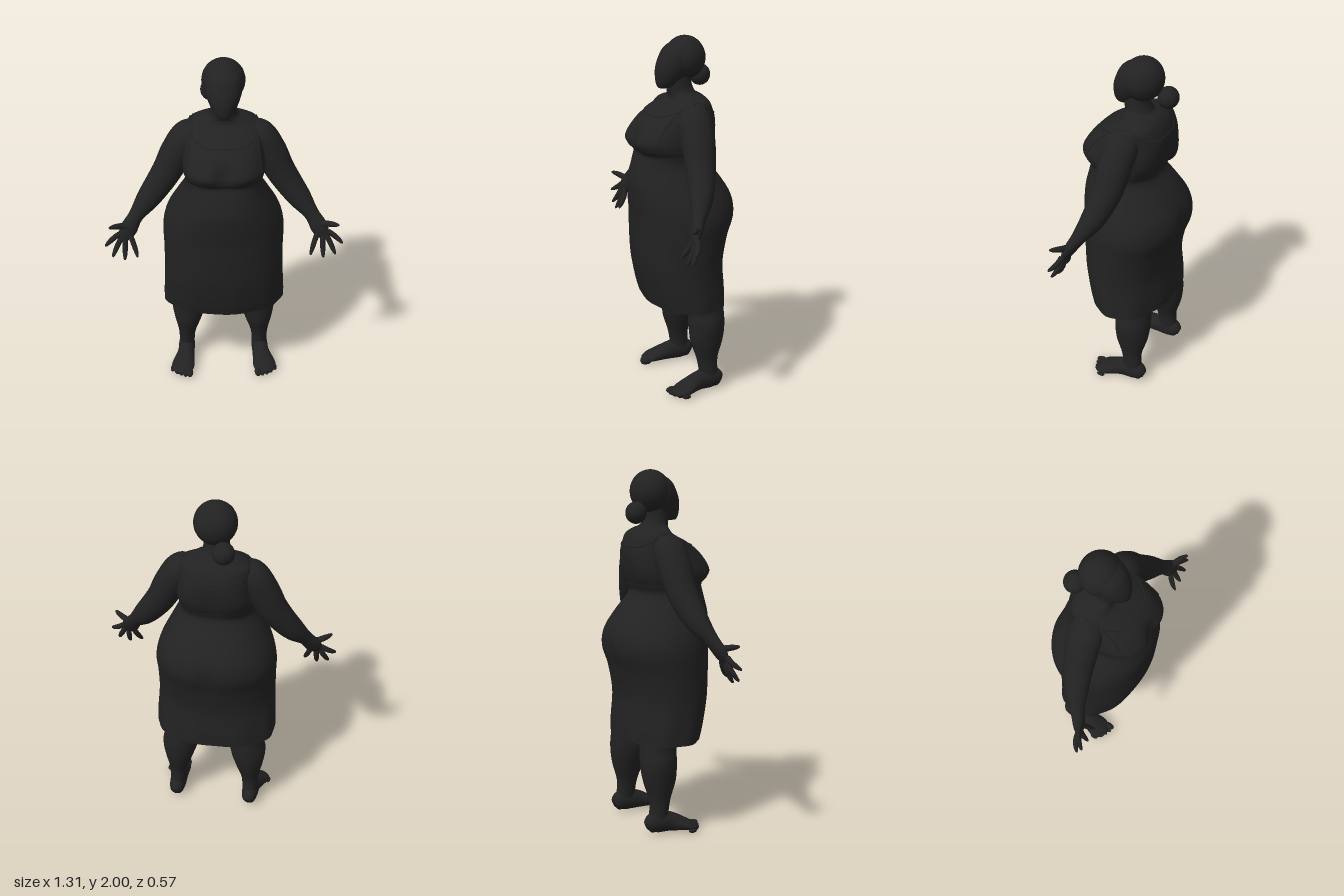
import * as THREE from 'three';

const dark = new THREE.MeshStandardMaterial({ color: 0x222222, side: THREE.DoubleSide });
dark.name = 'charcoal';

// Smooth interpolation of every column of a table, t from 0 to 1
function sample(rows, t) {
  const f = t * (rows.length - 1);
  const i = Math.min(Math.floor(f), rows.length - 2);
  const u = f - i;
  const at = k => rows[Math.max(0, Math.min(rows.length - 1, k))];
  return rows[i].map((b, c) => {
    const a = at(i - 1)[c], d = at(i + 1)[c], e = at(i + 2)[c];
    return b + 0.5 * u * (d - a + u * (2 * a - 5 * b + 4 * d - e + u * (3 * (b - d) + e - a)));
  });
}

// Closed rings joined into one smooth skin; point(angle, t) gives the surface
function skin(point, segs, rings, capStart) {
  const pos = [], index = [];
  for (let i = 0; i <= rings; i++)
    for (let j = 0; j < segs; j++) pos.push(...point(j / segs * Math.PI * 2, i / rings));
  for (let i = 0; i < rings; i++)
    for (let j = 0; j < segs; j++) {
      const a = i * segs + j, b = i * segs + (j + 1) % segs;
      index.push(a, a + segs, b, b, a + segs, b + segs);
    }
  const cap = (first, flip) => {
    const centre = [0, 0, 0];
    for (let j = 0; j < segs; j++) for (let k = 0; k < 3; k++) centre[k] += pos[(first + j) * 3 + k] / segs;
    const c = pos.length / 3;
    pos.push(...centre);
    for (let j = 0; j < segs; j++) {
      const a = first + j, b = first + (j + 1) % segs;
      index.push(...(flip ? [c, b, a] : [c, a, b]));
    }
  };
  if (capStart) cap(0, false);
  cap(rings * segs, true);
  const g = new THREE.BufferGeometry();
  g.setAttribute('position', new THREE.Float32BufferAttribute(pos, 3));
  g.setIndex(index);
  g.computeVertexNormals();
  return g;
}

// Limb along a path; rows are x, y, z, half width, half depth
function limb(rows, side, ref, segs = 28, rings = 48) {
  const r = rows.map(([x, ...rest]) => [x * side, ...rest]);
  const vec = t => new THREE.Vector3(...sample(r, t).slice(0, 3));
  return skin((angle, t) => {
    const s = sample(r, t);
    const T = vec(Math.min(1, t + 0.01)).sub(vec(Math.max(0, t - 0.01))).normalize();
    const B = ref.clone().addScaledVector(T, -ref.dot(T)).normalize();
    const N = T.clone().cross(B);
    return vec(t).addScaledVector(N, Math.cos(angle) * s[3]).addScaledVector(B, Math.sin(angle) * s[4]).toArray();
  }, segs, rings, true);
}

// Upright section from rows of y, half width, front z, back z
const spow = (v, p) => Math.sign(v) * Math.abs(v) ** p;
const bell = (v, centre, width) => Math.exp(-(((v - centre) / width) ** 2));
function section(rows, angle, t, squareness = 2) {
  const [y, w, zf, zb] = sample(rows, t);
  const c = spow(Math.cos(angle), 2 / squareness), s = spow(Math.sin(angle), 2 / squareness);
  return [w * c, y, (zf + zb) / 2 + (zf - zb) / 2 * s];
}

const TORSO = [
  [0.515, 0.346, 0.205, -0.23], [0.6, 0.344, 0.23, -0.23], [0.75, 0.336, 0.26, -0.222],
  [0.9, 0.336, 0.27, -0.248], [1.02, 0.338, 0.272, -0.287], [1.12, 0.314, 0.282, -0.277],
  [1.22, 0.264, 0.284, -0.218], [1.32, 0.214, 0.26, -0.139], [1.375, 0.212, 0.245, -0.148],
  [1.41, 0.22, 0.275, -0.163], [1.46, 0.222, 0.288, -0.177], [1.55, 0.21, 0.23, -0.184],
  [1.61, 0.203, 0.15, -0.17], [1.65, 0.185, 0.075, -0.15], [1.68, 0.125, 0.06, -0.12],
  [1.7, 0.08, 0.065, -0.085], [1.75, 0.068, 0.07, -0.065], [1.8, 0.066, 0.06, -0.065],
];
// Torso surface: squarer at the bust, soft clefts front and back, folds near the hem
function torso(angle, t) {
  const y = sample(TORSO, t)[0];
  const p = section(TORSO, angle, t, 2.15 + 0.6 * bell(y, 1.46, 0.12));
  const cleft = p[2] > 0 ? 0.12 * bell(y, 1.46, 0.06)
    : 0.05 * bell(y, 1.02, 0.12) + 0.04 * bell(y, 1.45, 0.12);
  const hem = Math.max(0, Math.min(1, (0.85 - y) / 0.3));
  const fold = 1 + 0.014 * hem * Math.sin(9 * angle + 1);
  return [p[0] * fold, y, p[2] * fold * (1 - cleft * bell(p[0], 0, 0.05))];
}

const HEAD = [
  [1.722, 0.018, 0.115, 0.07], [1.729, 0.038, 0.125, 0.03], [1.76, 0.062, 0.135, -0.01],
  [1.82, 0.09, 0.136, -0.075], [1.88, 0.1, 0.118, -0.1], [1.94, 0.086, 0.083, -0.1],
  [1.985, 0.02, 0.01, -0.04],
];
const ARM = [
  [0.11, 1.6, -0.01, 0.04, 0.06], [0.185, 1.572, -0.01, 0.085, 0.092],
  [0.25, 1.475, -0.005, 0.089, 0.092], [0.305, 1.365, 0.005, 0.082, 0.084],
  [0.36, 1.28, 0.022, 0.075, 0.074], [0.42, 1.2, 0.048, 0.064, 0.062],
  [0.485, 1.12, 0.09, 0.042, 0.038], [0.53, 1.05, 0.125, 0.048, 0.026],
  [0.56, 0.995, 0.147, 0.02, 0.008],
];
const LEG = [
  [0.222, 0.05, -0.095, 0.045, 0.055], [0.218, 0.18, -0.083, 0.05, 0.06],
  [0.211, 0.3, -0.08, 0.081, 0.094], [0.203, 0.4, -0.082, 0.102, 0.103],
  [0.19, 0.52, -0.076, 0.099, 0.106], [0.17, 0.9, -0.02, 0.125, 0.14],
];
const FOOT = [
  [0.222, 0.045, -0.166, 0.012, 0.02], [0.222, 0.052, -0.15, 0.036, 0.046],
  [0.222, 0.066, -0.1, 0.048, 0.062], [0.227, 0.058, -0.02, 0.05, 0.054],
  [0.248, 0.03, 0.085, 0.068, 0.027], [0.256, 0.018, 0.135, 0.03, 0.01],
];
// Finger base and tip; thumb first
const FINGERS = [
  [[0.525, 1.075, 0.125], [0.628, 1.1, 0.18]], [[0.575, 1.035, 0.138], [0.655, 0.98, 0.178]],
  [[0.567, 1.012, 0.143], [0.617, 0.912, 0.185]], [[0.546, 1.004, 0.143], [0.55, 0.892, 0.188]],
  [[0.518, 1.025, 0.135], [0.478, 0.912, 0.19]],
];

export function createModel() {
  const model = new THREE.Group();
  const add = (name, geometry) => {
    const m = new THREE.Mesh(geometry, dark);
    m.name = name;
    model.add(m);
    return m;
  };
  const ball = (name, p, s) => {
    const m = add(name, new THREE.SphereGeometry(1, 32, 24));
    m.position.set(...p);
    m.scale.set(...s);
  };

  // Dress, shoulders and neck in one skin, open at the hem
  add('dressAndNeck', skin(torso, 112, 126, false));

  // Head, hair and side bun
  add('head', skin((a, t) => section(HEAD, a, t), 48, 40, true));
  ball('hair', [0, 1.881, -0.033], [0.116, 0.119, 0.112]);
  ball('bun', [-0.062, 1.77, -0.148], [0.06, 0.06, 0.058]);

  // Raised edges of the dress, laid on the torso surface
  const onTorso = (angle, y) => {
    let lo = 0, hi = 1;
    for (let k = 0; k < 24; k++) {
      const mid = (lo + hi) / 2;
      if (sample(TORSO, mid)[0] < y) lo = mid; else hi = mid;
    }
    return new THREE.Vector3(...torso(angle, lo));
  };
  const edge = (name, points, closed) => add(name,
    new THREE.TubeGeometry(new THREE.CatmullRomCurve3(points, closed), 96, 0.004, 6, closed));
  const loop = [];
  for (let j = 0; j < 40; j++) {
    const a = j / 40 * Math.PI * 2;
    loop.push(onTorso(a, 1.585 + 0.075 * Math.cos(a) ** 4));
  }
  edge('neckline', loop, true);
  for (const a of [0.55, Math.PI - 0.55, Math.PI + 0.55, -0.55]) {
    const points = [];
    for (let k = 0; k <= 8; k++) points.push(onTorso(a, 1.43 + k * 0.027));
    edge('armholeEdge', points, false);
  }

  const Y = new THREE.Vector3(0, 1, 0), Z = new THREE.Vector3(0, 0, 1);
  for (const side of [1, -1]) {
    const tag = side > 0 ? 'left' : 'right';
    add(tag + 'Arm', limb(ARM, side, Z, 32, 70));

    // Slightly bent, tapering fingers
    FINGERS.forEach(([a, b], i) => {
      const rows = [0, 0.35, 0.7, 0.93, 1].map(t => {
        const r = (i ? 0.015 : 0.017) * Math.sqrt(1.03 - t ** 4);
        const [x, y, z] = a.map((v, k) => v + (b[k] - v) * t);
        return [x, y, z - 0.01 * Math.sin(t * Math.PI), r, r];
      });
      add(tag + (i ? 'Finger' : 'Thumb'), limb(rows, side, Z, 12, 16));
    });

    // Leg, foot and toes
    add(tag + 'Leg', limb(LEG, side, Z));
    add(tag + 'Foot', limb(FOOT, side, Y));
    for (let i = 0; i < 5; i++) {
      const s = i ? 0.015 - i * 0.0007 : 0.02;
      ball(tag + 'Toe', [side * (0.205 + i * 0.026), s, 0.128 - 0.003 * i * i], [s, s, 0.036 - i * 0.003]);
    }
  }
  return model;
}
